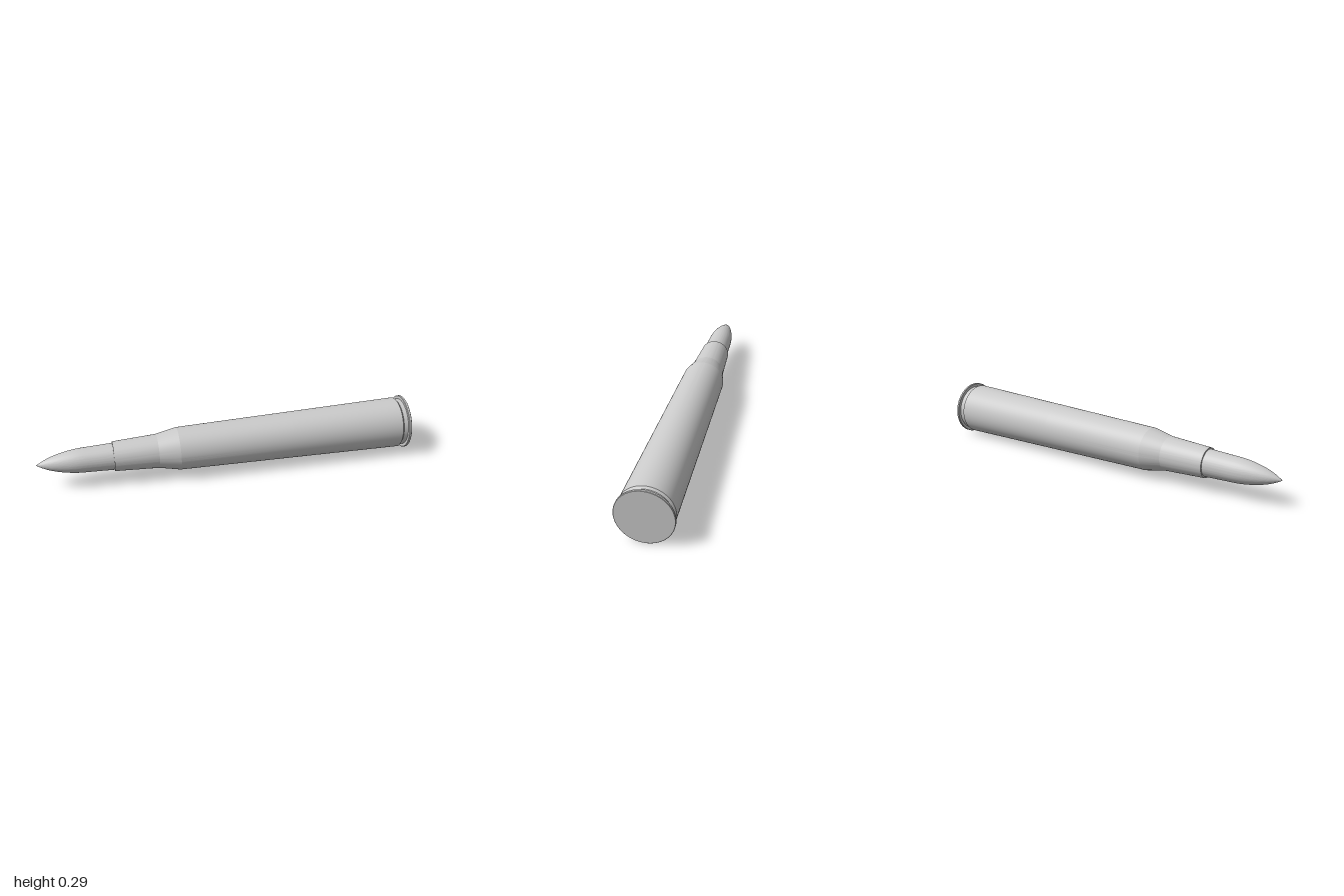
import * as THREE from 'three';
import { toCreasedNormals } from 'three/addons/utils/BufferGeometryUtils.js';

const RIM = 0.143; // largest radius, also the height of the axis
const material = new THREE.MeshStandardMaterial({ color: 0xcccccc });

// Turns a profile of [x, radius] pairs, listed from base (+x) to tip (-x), around the x axis
function turned(name, profile) {
  const points = profile.map(([x, r]) => new THREE.Vector2(r, -x));
  const geometry = new THREE.LatheGeometry(points, 72).rotateZ(Math.PI / 2);
  const mesh = new THREE.Mesh(toCreasedNormals(geometry, 0.14), material);
  mesh.name = name;
  mesh.position.y = RIM;
  return mesh;
}

export function createModel() {
  const model = new THREE.Group();
  model.name = 'cartridge';

  // Flat base, rim and extractor groove
  model.add(turned('rimAndGroove', [
    [1, 0], [1, 0.141], [0.998, RIM], [0.988, RIM], [0.986, 0.141],
    [0.986, 0.126], [0.962, 0.126], [0.953, 0.136],
  ]));

  // Tapered body, shoulder, neck and open mouth lip
  model.add(turned('case', [
    [0.953, 0.136], [0.35, 0.1245], [-0.26, 0.113],
    [-0.37, 0.09], [-0.602, 0.078], [-0.602, 0.07],
  ]));

  // Pointed nose with a smooth curve
  const ogive = new THREE.SplineCurve([
    [-0.59, 0.071], [-0.7, 0.067], [-0.79, 0.063], [-0.86, 0.0525],
    [-0.92, 0.037], [-0.965, 0.019], [-1, 0],
  ].map(([x, r]) => new THREE.Vector2(x, r)));
  model.add(turned('projectile', ogive.getPoints(36).map((p) => [p.x, Math.max(p.y, 0)])));

  return model;
}
